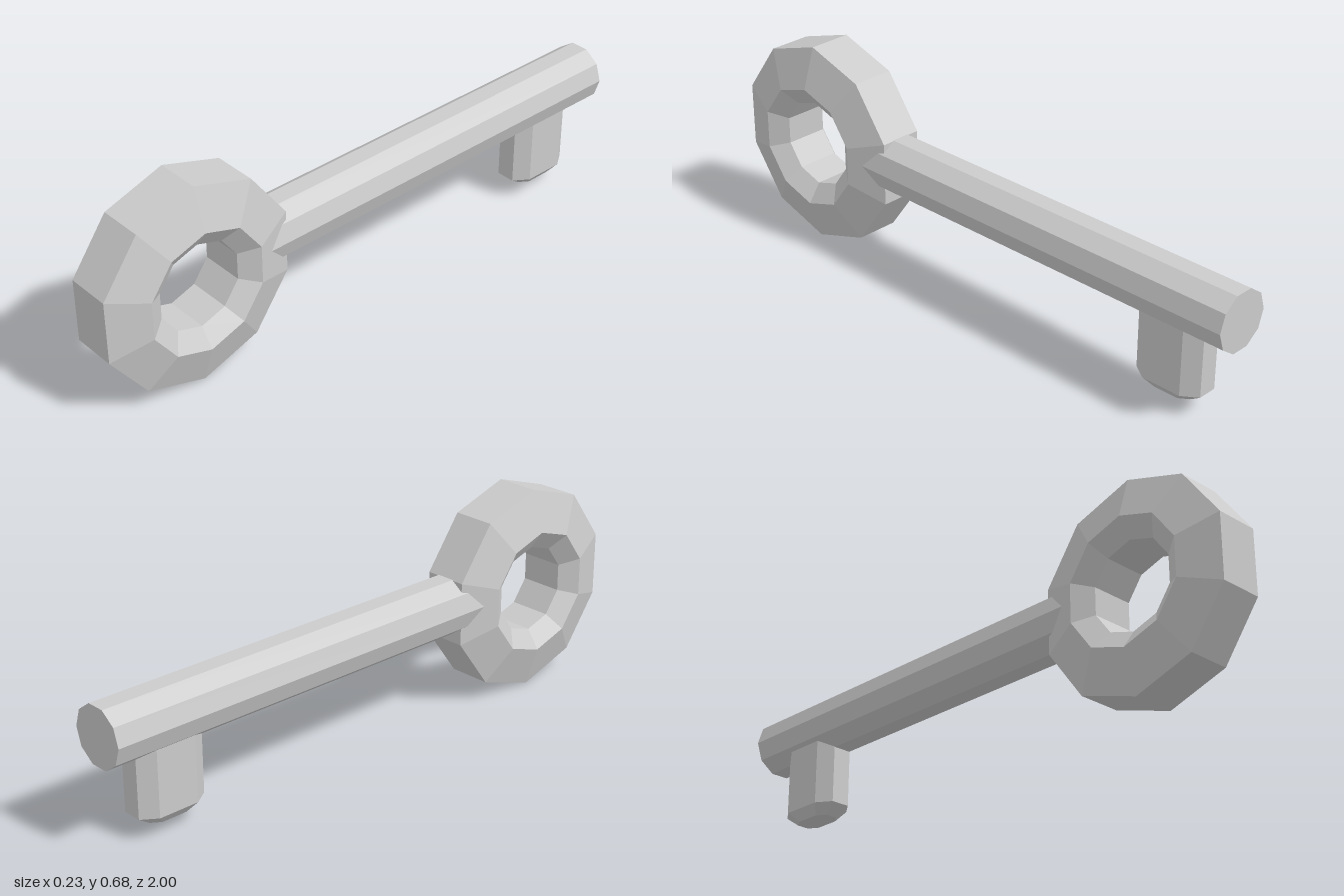
import * as THREE from 'three';

const material = new THREE.MeshStandardMaterial({ color: 0xcccccc, flatShading: true });

function addPart(group, name, geometry) {
  const mesh = new THREE.Mesh(geometry, material);
  mesh.name = name;
  group.add(mesh);
  return mesh;
}

export function createModel() {
  const key = new THREE.Group();
  key.name = 'key';

  // Ten-sided ring handle: closed bevelled section turned about the x axis
  const section = [
    [0.145, -0.072], [0.206, -0.115], [0.341, -0.072],
    [0.341, 0.072], [0.206, 0.115], [0.145, 0.072], [0.145, -0.072],
  ].map(([r, h]) => new THREE.Vector2(r, h));
  const ring = new THREE.LatheGeometry(section, 10);
  ring.rotateZ(-Math.PI / 2); // a corner of the ring points straight up
  ring.rotateX(Math.PI / 2);
  addPart(key, 'ringHandle', ring).position.set(0, 0.341, 0.675);

  // Ten-sided shaft running back from inside the ring
  const shaft = new THREE.CylinderGeometry(0.098, 0.098, 1.45, 10);
  shaft.rotateY(Math.PI / 2); // corners on the left and right
  shaft.rotateX(Math.PI / 2);
  addPart(key, 'shaft', shaft).position.set(0, 0.355, -0.275);

  // Tooth under the far end: cut-corner block with a tapered tip
  const outline = [
    [0.066, 0.068], [0.032, 0.117], [-0.032, 0.117], [-0.066, 0.068],
    [-0.066, -0.068], [-0.032, -0.117], [0.032, -0.117], [0.066, -0.068],
  ];
  const levels = [[0.36, 1], [0.072, 1], [0.04, 0.62]]; // height, scale
  const positions = [];
  const corner = ([y, s], i) => [outline[i % 8][0] * s, y, outline[i % 8][1] * s];
  for (let i = 0; i < 8; i++) {
    for (let j = 0; j < 2; j++) {
      const a = corner(levels[j], i), b = corner(levels[j], i + 1);
      const c = corner(levels[j + 1], i), d = corner(levels[j + 1], i + 1);
      positions.push(...a, ...b, ...c, ...b, ...d, ...c);
    }
    // Slices of the top and bottom caps
    positions.push(0, levels[0][0], 0, ...corner(levels[0], i + 1), ...corner(levels[0], i));
    positions.push(0, levels[2][0], 0, ...corner(levels[2], i), ...corner(levels[2], i + 1));
  }
  const tooth = new THREE.BufferGeometry();
  tooth.setAttribute('position', new THREE.Float32BufferAttribute(positions, 3));
  tooth.computeVertexNormals();
  addPart(key, 'tooth', tooth).position.z = -0.784;

  return key;
}
